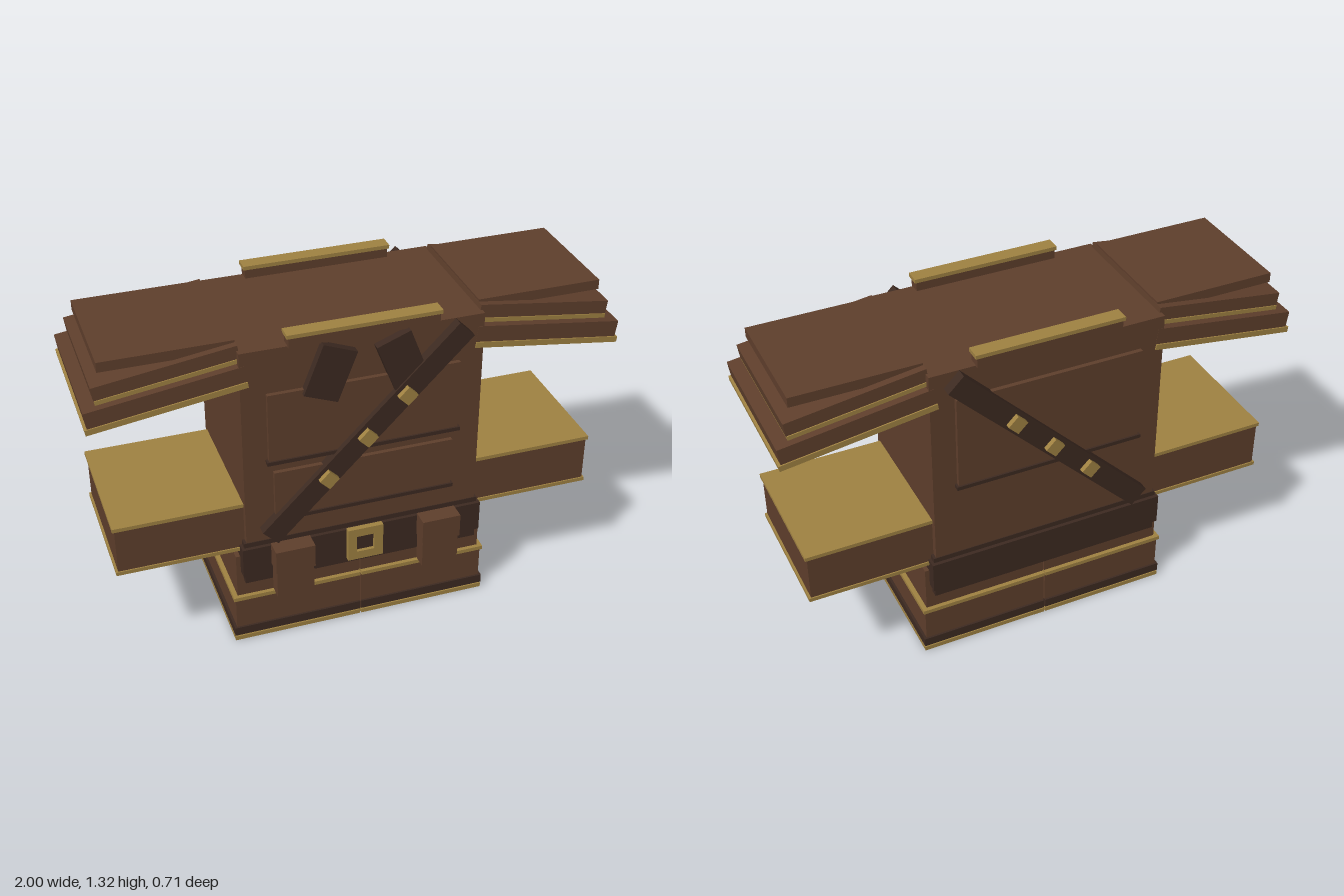
import * as THREE from 'three';

export function createModel() {
  const root = new THREE.Group();
  root.name = 'armouredCoat';
  // all parts are laid out around the coat's own middle plane
  const coat = new THREE.Group();
  coat.name = 'coat';
  coat.position.z = -0.0125;
  root.add(coat);

  const mat = (name, color) => {
    const m = new THREE.MeshStandardMaterial({ color });
    m.name = name;
    return m;
  };
  const leather = mat('brown leather', 0x5f3f2c);
  const dark = mat('dark leather', 0x3d2a21);
  const gold = mat('old gold', 0xa08242);

  // box from its limits, turned about z around its own centre
  function box(name, m, [x0, x1], [y0, y1], [z0, z1], rot = 0) {
    const mesh = new THREE.Mesh(new THREE.BoxGeometry(x1 - x0, y1 - y0, z1 - z0), m);
    mesh.position.set((x0 + x1) / 2, (y0 + y1) / 2, (z0 + z1) / 2);
    mesh.rotation.z = rot;
    mesh.name = name;
    coat.add(mesh);
    return mesh;
  }
  const sym = (a) => [-a, a];
  const about = (c, size) => [c - size / 2, c + size / 2];
  const span = (s, a, b) => (s > 0 ? [a, b] : [-b, -a]);

  // torso and belt
  box('torso', leather, sym(0.455), [0.3, 1.27], sym(0.285));
  box('waistband', dark, sym(0.465), [0.28, 0.465], sym(0.288));
  box('belt', dark, sym(0.475), [0.32, 0.445], sym(0.302));

  // chest and back panels, each with a dark lower edge
  function panel(name, s, w, y0, y1) {
    box(name, leather, sym(w), [y0, y1], span(s, 0.28, 0.302));
    box(name + 'Edge', dark, sym(w + 0.008), [y0 - 0.007, y0 + 0.008], span(s, 0.28, 0.309));
  }
  panel('chestPanel', 1, 0.363, 0.812, 1.095);
  panel('bellyPanel', 1, 0.345, 0.562, 0.765);
  panel('backPanel', -1, 0.363, 0.778, 1.157);

  for (const s of [1, -1]) {
    // diagonal strap with studs, on the front and on the back
    box('strap', dark, about(0, 1.052), about(0.868, 0.083), span(s, 0.284, 0.325), Math.PI / 4);
    for (const t of [-0.149, 0, 0.149])
      box('stud', gold, about(t, 0.053), about(0.867 + t, 0.053), span(s, 0.32, 0.345), Math.PI / 4);

    // collar bar
    box('collarBar', leather, sym(0.28), [1.265, 1.306], span(s, 0.246, 0.295));
    box('collarTrim', gold, sym(0.287), [1.305, 1.32], span(s, 0.243, 0.301));
  }

  // buckle: square ring around a dark plate
  const ring = new THREE.Shape();
  const square = (path, a) =>
    path.moveTo(-a, -a).lineTo(a, -a).lineTo(a, a).lineTo(-a, a).closePath();
  square(ring, 0.07);
  const hole = new THREE.Path();
  square(hole, 0.035);
  ring.holes.push(hole);
  const buckle = new THREE.Mesh(
    new THREE.ExtrudeGeometry(ring, { depth: 0.022, bevelEnabled: false }), gold);
  buckle.name = 'buckle';
  buckle.position.set(0, 0.383, 0.301);
  coat.add(buckle);
  box('bucklePlate', dark, sym(0.036), [0.347, 0.419], [0.301, 0.309]);

  // mirrored parts
  for (const s of [1, -1]) {
    // collar flap
    box('collarFlap', dark, about(s * 0.135, 0.135), about(1.15, 0.205), [0.28, 0.318], s * 0.37);

    // belt pouch
    box('pouch', leather, span(s, 0.218, 0.362), [0.243, 0.37], [0.302, 0.361]);
    box('pouchFlap', leather, span(s, 0.214, 0.366), [0.36, 0.455], [0.3, 0.3675]);

    // sleeve with gold ends
    box('sleeve', leather, span(s, 0.44, 0.932), [0.432, 0.618], sym(0.259));
    for (const y of [0.42, 0.614])
      box('sleeveTrim', gold, span(s, 0.44, 0.94), [y, y + 0.015], sym(0.264));

    // layered shoulder pad: two sloping layers and a flat top
    const slope = -s * 0.138;
    box('lowerPadTrim', gold, about(s * 0.711, 0.578), about(1.107, 0.022), sym(0.291), slope);
    box('lowerPad', leather, about(s * 0.711, 0.57), about(1.148, 0.066), sym(0.286), slope);
    box('middlePadTrim', gold, about(s * 0.698, 0.512), about(1.196, 0.016), sym(0.264), slope);
    box('middlePad', leather, about(s * 0.702, 0.515), about(1.228, 0.054), sym(0.26), slope);
    box('topPad', leather, span(s, 0.452, 0.93), [1.26, 1.298], sym(0.233));

    // skirt half, leaving a fine slit in the middle
    const g = 0.0025;
    box('upperSkirt', leather, span(s, g, 0.492), [0.2, 0.39], sym(0.26));
    box('skirtTrim', gold, span(s, g, 0.51), [0.19, 0.206], sym(0.276));
    box('lowerSkirt', leather, span(s, g, 0.502), [0.02, 0.195], sym(0.269));
    box('skirtBand', dark, span(s, g, 0.512), [0.024, 0.06], sym(0.277));
    box('hemTrim', gold, span(s, g, 0.511), [0, 0.018], sym(0.276));
  }
  return root;
}
